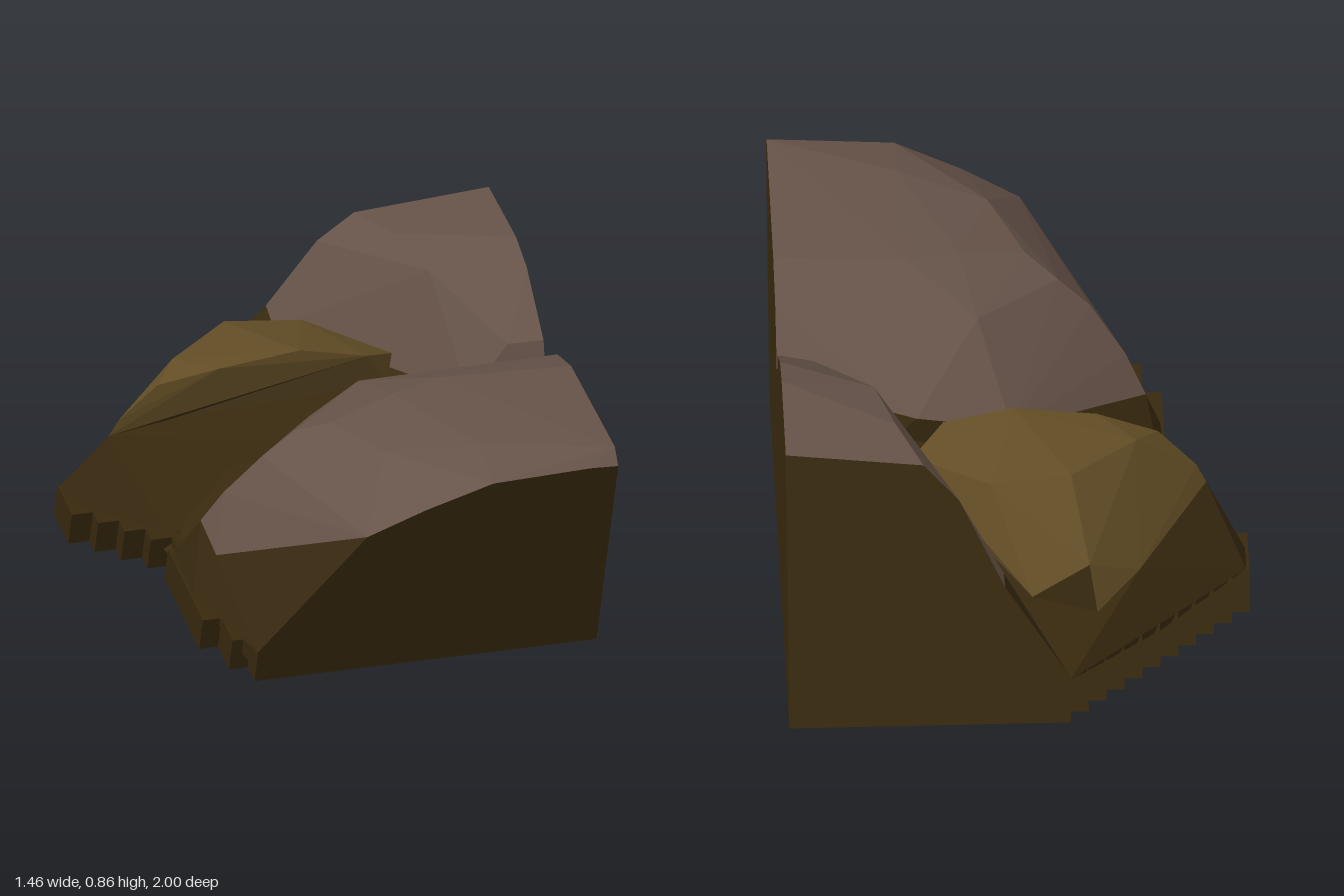
import * as THREE from 'three';
import { ConvexGeometry } from 'three/addons/geometries/ConvexGeometry.js';

const LEAN = 0.363; // every upright leans forward by this much per unit of height
const RIGHT = 0.73;
const front = (x, y) => [x, y, 0.71 + LEAN * y]; // point on the front cut
const back = (x, y) => [x, y, -1 + LEAN * y]; // point on the back cut

function material(name, color) {
  const m = new THREE.MeshStandardMaterial({ color, flatShading: true });
  m.name = name;
  return m;
}

export function createModel() {
  const model = new THREE.Group();
  const earth = material('dark earth', 0x38290f);
  const mauve = material('mauve stone', 0x665349);
  const ochre = material('ochre stone', 0x624d25);

  // Faceted lump; faces lying on the cut planes show earth
  function lump(name, points, skin) {
    const geo = new ConvexGeometry(points.map((p) => new THREE.Vector3(...p)));
    const pos = geo.attributes.position;
    const cut = new THREE.Vector3(0, -LEAN, 1).normalize();
    const tri = new THREE.Triangle();
    const n = new THREE.Vector3();
    for (let i = 0; i < pos.count; i += 3) {
      tri.setFromAttributeAndIndices(pos, i, i + 1, i + 2);
      tri.getNormal(n);
      const isCut = n.x > 0.995 || Math.abs(n.dot(cut)) > 0.998 || n.y < -0.95;
      geo.addGroup(i, 3, isCut ? 1 : 0);
    }
    const mesh = new THREE.Mesh(geo, [skin, earth]);
    mesh.name = name;
    model.add(mesh);
  }

  // Plinth with a stair-stepped outer edge
  const anchors = [[-0.15, -1], [-0.73, -0.45], [-0.73, -0.33], [-0.46, -0.05],
    [-0.49, 0.02], [-0.49, 0.33], [-0.37, 0.62], [-0.37, 0.71]];
  const shape = new THREE.Shape();
  shape.moveTo(RIGHT, 1);
  shape.lineTo(-0.15, 1);
  for (let i = 1; i < anchors.length; i++) {
    const [x0, s0] = anchors[i - 1];
    const [x1, s1] = anchors[i];
    const steps = Math.max(1, Math.round(Math.abs(x1 - x0) / 0.06));
    for (let j = 1; j <= steps; j++) {
      const s = s0 + ((s1 - s0) * j) / steps;
      shape.lineTo(x0 + ((x1 - x0) * (j - 1)) / steps, -s);
      shape.lineTo(x0 + ((x1 - x0) * j) / steps, -s);
    }
  }
  shape.lineTo(RIGHT, -0.71);
  shape.closePath();
  const plinth = new THREE.ExtrudeGeometry(shape, { depth: 0.13, bevelEnabled: false });
  plinth.rotateX(-Math.PI / 2);
  plinth.applyMatrix4(new THREE.Matrix4().set(1, 0, 0, 0, 0, 1, 0, 0, 0, LEAN, 1, 0, 0, 0, 0, 1));
  plinth.computeVertexNormals();
  const plinthMesh = new THREE.Mesh(plinth, earth);
  plinthMesh.name = 'steppedPlinth';
  model.add(plinthMesh);

  // Large front rock: stone cap over an earth skirt sharing the same rim
  const frontRim = [[-0.43, 0.33, 0.25], [-0.43, 0.21, 0.42], [-0.36, 0.25, 0.55],
    [-0.2, 0.42, 0.77], [-0.22, 0.35, 0.05], [-0.1, 0.4, 0], [0, 0.46, -0.08],
    [0.3, 0.52, -0.1], [0.43, 0.5, -0.05], [RIGHT, 0.56, 0.05],
    front(-0.06, 0.6), front(RIGHT, 0.6)];
  lump('frontRock', [...frontRim,
    front(0.12, 0.69), front(0.33, 0.775), front(0.64, 0.79), front(RIGHT, 0.785),
    [RIGHT, 0.83, 0.95], [RIGHT, 0.8, 0.38], [RIGHT, 0.74, 0.2],
    [0.33, 0.81, 0.8], [0.31, 0.8, 0.35], [0.15, 0.79, 0.4], [0.05, 0.765, 0.7],
    [-0.06, 0.745, 0.45], [-0.16, 0.69, 0.38], [-0.26, 0.6, 0.36],
    [-0.37, 0.45, 0.3], [0.1, 0.71, 0.16]], mauve);
  lump('frontSkirt', [...frontRim,
    [-0.48, 0.13, 0.09], [-0.48, 0.13, 0.36], [-0.45, 0.2, 0.2], [-0.4, 0.08, 0.62],
    front(-0.37, 0.05), front(-0.37, 0.13), front(RIGHT, 0.05), [RIGHT, 0.05, -0.1]], earth);

  // Back rock
  const backRim = [back(0.05, 0.42), [0.05, 0.4, -0.75], [0.2, 0.45, -0.55],
    [0.3, 0.45, -0.4], [0.34, 0.46, -0.28], [0.45, 0.48, -0.1], [0.5, 0.5, -0.02],
    [RIGHT, 0.56, 0.05], back(RIGHT, 0.5)];
  lump('backRock', [...backRim,
    back(0.19, 0.69), back(0.3, 0.8), back(RIGHT, 0.84),
    [RIGHT, 0.86, -0.34], [RIGHT, 0.83, -0.2], [RIGHT, 0.69, 0.02],
    [0.38, 0.82, -0.52], [0.44, 0.8, -0.3], [0.62, 0.68, 0]], mauve);
  lump('backSkirt', [...backRim,
    back(-0.15, 0.05), back(-0.15, 0.14), back(RIGHT, 0.05),
    [-0.1, 0.13, -0.85], [0.2, 0.3, -0.4], [0.3, 0.38, -0.15], [RIGHT, 0.05, 0.05]], earth);

  // Low side rock
  const sideRim = [[-0.25, 0.19, -0.76], [-0.04, 0.29, -0.73], [-0.38, 0.29, -0.6],
    [-0.53, 0.27, -0.38], [-0.6, 0.37, -0.26], [-0.4, 0.41, -0.25], [0.3, 0.42, -0.28]];
  lump('sideRock', [...sideRim,
    [-0.57, 0.43, -0.25], [-0.45, 0.55, -0.23], [-0.26, 0.6, -0.2], [0, 0.63, -0.2],
    [0.22, 0.58, -0.2], [0.32, 0.52, -0.3], [-0.38, 0.585, -0.32],
    [-0.17, 0.59, -0.5], [0.08, 0.56, -0.5], [-0.22, 0.38, -0.69]], ochre);
  lump('sideSkirt', [...sideRim,
    [-0.72, 0.13, -0.4], [-0.72, 0.13, -0.29], [-0.64, 0.24, -0.28], [-0.46, 0.12, -0.02],
    [-0.2, 0.12, -0.9], back(-0.15, 0.13), [-0.45, 0.1, -0.66],
    [0.3, 0.1, -0.3], [0, 0.36, -0.1]], earth);

  // Earth filling the gully between the rocks
  lump('gully', [[-0.5, 0.08, -0.12], [-0.47, 0.08, 0.05], [-0.25, 0.29, -0.12],
    [-0.25, 0.3, 0.03], [0.4, 0.45, -0.15], [0.4, 0.45, 0.05],
    [RIGHT, 0.54, -0.02], [RIGHT, 0.54, 0.1], [RIGHT, 0.05, -0.2], [RIGHT, 0.05, 0.2]], earth);

  return model;
}
